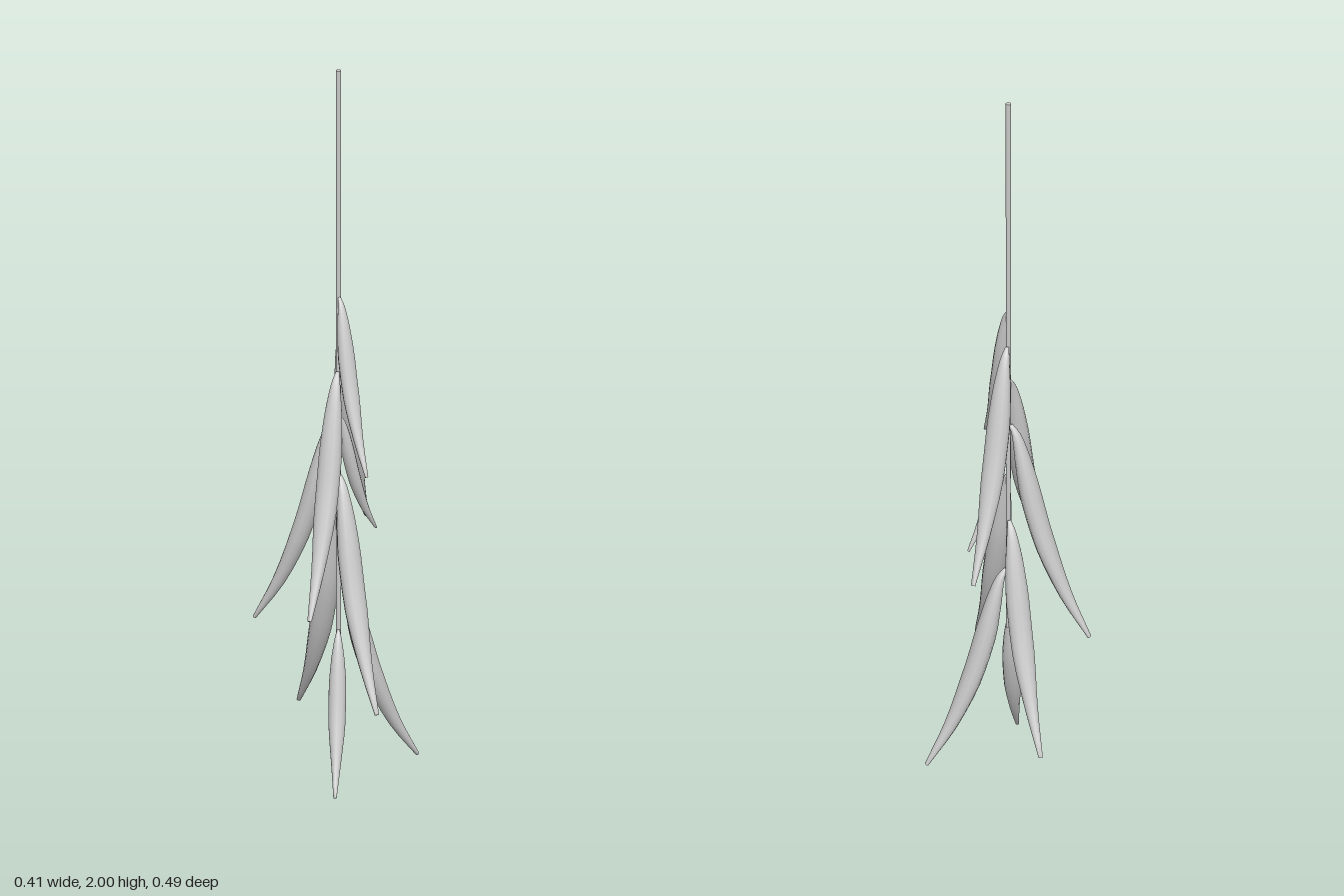
import * as THREE from 'three';

const STEM_X = -0.032, STEM_Z = 0.004;

// Side profile of a leaf: [reach, drop, half thickness, half width];
// reach and drop are fractions of the leaf's own spread and height.
const PROFILE = [
  [0.03, 0.0, 0.005, 0.005],
  [0.1, 0.05, 0.012, 0.013],
  [0.18, 0.17, 0.021, 0.024],
  [0.29, 0.36, 0.028, 0.032],
  [0.46, 0.58, 0.026, 0.031],
  [0.71, 0.81, 0.017, 0.018],
  [1.0, 1.0, 0.005, 0.006],
];

// Sweeps an elliptical section along the drooping profile, towards local +x.
function leafGeometry(reach, height, scale) {
  const spine = new THREE.CatmullRomCurve3(PROFILE.map(p => new THREE.Vector3(p[0] * reach, -p[1] * height, 0)));
  const size = new THREE.CatmullRomCurve3(PROFILE.map(p => new THREE.Vector3(p[2], p[3], 0).multiplyScalar(scale)));
  const rings = 18, sides = 12, pos = [], idx = [];
  for (let i = 0; i <= rings; i++) {
    const t = i / rings;
    const c = spine.getPoint(t), d = spine.getTangent(t), s = size.getPoint(t);
    for (let j = 0; j < sides; j++) {
      const a = (j / sides) * Math.PI * 2;
      const n = Math.cos(a) * s.x;
      pos.push(c.x - d.y * n, c.y + d.x * n, Math.sin(a) * s.y);
      if (i < rings) {
        const p = i * sides + j, q = i * sides + (j + 1) % sides;
        idx.push(p, q, p + sides, q, q + sides, p + sides);
      }
    }
  }
  // End caps
  const last = rings * sides;
  for (let j = 1; j < sides - 1; j++) {
    idx.push(0, j + 1, j, last, last + j, last + j + 1);
  }
  const g = new THREE.BufferGeometry();
  g.setAttribute('position', new THREE.Float32BufferAttribute(pos, 3));
  g.setIndex(idx);
  g.computeVertexNormals();
  return g;
}

// Leaves from top to bottom: tip x, tip y, tip z, attachment height, thickness scale
const LEAVES = [
  [-0.032, 0.91, 0.18, 1.36, 0.72],
  [0.132, 0.655, -0.172, 1.26, 1],
  [-0.2, 0.53, 0.182, 1.15, 1],
  [0.093, 0.675, -0.03, 1.02, 0.6],
  [-0.2, 0.425, -0.16, 1.02, 1],
  [-0.032, 0.26, 0.243, 0.86, 1],
  [-0.032, 0.135, -0.243, 0.73, 1],
  [0.2, 0.028, 0, 0.58, 1],
  [-0.112, 0.006, 0.153, 0.42, 0.72],
];

export function createModel() {
  const model = new THREE.Group();
  model.name = 'hangingSprig';
  const mat = new THREE.MeshStandardMaterial({ color: 0xcccccc, side: THREE.DoubleSide });

  // Long thin stem
  const stem = new THREE.Mesh(new THREE.CylinderGeometry(0.0075, 0.0065, 1.6, 8), mat);
  stem.name = 'stem';
  stem.position.set(STEM_X, 1.2, STEM_Z);
  model.add(stem);

  // Drooping leaves around the stem
  LEAVES.forEach(([x, y, z, top, scale], i) => {
    const dx = x - STEM_X, dz = z - STEM_Z;
    const leaf = new THREE.Mesh(leafGeometry(Math.hypot(dx, dz), top - y, scale), mat);
    leaf.name = 'leaf' + (i + 1);
    leaf.position.set(STEM_X, top, STEM_Z);
    leaf.rotation.y = Math.atan2(-dz, dx);
    model.add(leaf);
  });
  return model;
}
